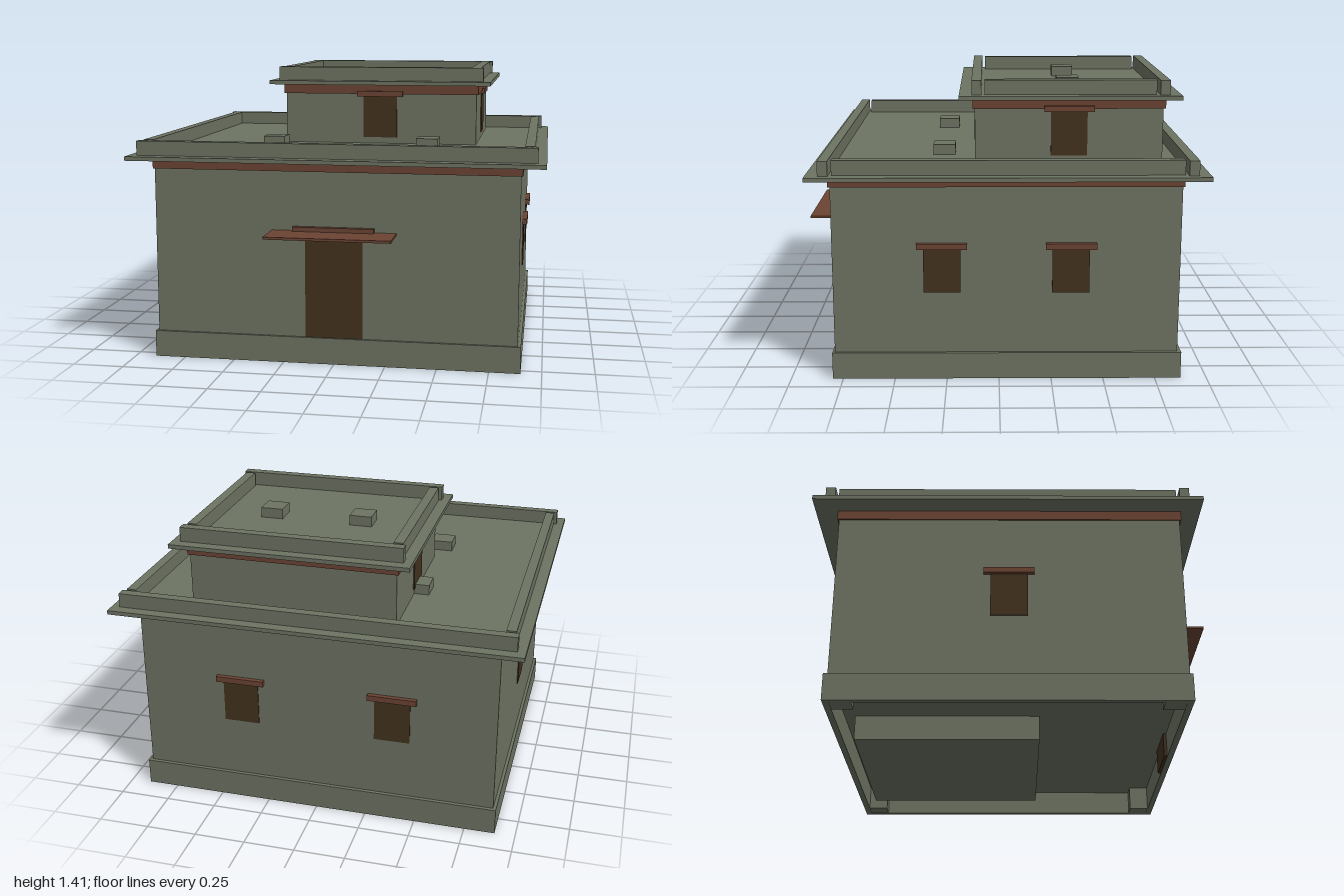
import * as THREE from 'three';

export function createModel() {
  const model = new THREE.Group();
  model.name = 'flatRoofedHouse';

  const mat = (name, color) => {
    const m = new THREE.MeshStandardMaterial({ color });
    m.name = name;
    return m;
  };
  const plaster = mat('grey green plaster', 0x6e7463);
  const timber = mat('red brown timber', 0x6b4433);
  const opening = mat('dark brown opening', 0x43321f);

  // Box given by its limits on each axis
  const box = (name, material, [x0, x1], [y0, y1], [z0, z1], parent = model) => {
    const mesh = new THREE.Mesh(new THREE.BoxGeometry(x1 - x0, y1 - y0, z1 - z0), material);
    mesh.position.set((x0 + x1) / 2, (y0 + y1) / 2, (z0 + z1) / 2);
    mesh.name = name;
    parent.add(mesh);
    return mesh;
  };

  // Overhanging slab with four parapet walls that leave small gaps at the corners
  const roof = (name, y, slabX, slabZ) => {
    const g = new THREE.Group();
    g.name = name;
    model.add(g);
    const top = y + 0.02, rim = [top, top + 0.07];
    box('roofSlab', plaster, slabX, [y, top], slabZ, g);
    const x0 = slabX[0] + 0.04, x1 = slabX[1] - 0.04;
    const z0 = slabZ[0] + 0.055, z1 = slabZ[1] - 0.06;
    box('backParapet', plaster, [x0, x1], rim, [z0, z0 + 0.047], g);
    box('frontParapet', plaster, [x0, x1], rim, [z1 - 0.047, z1], g);
    for (const [a, b] of [[x0 + 0.015, x0 + 0.062], [x1 - 0.062, x1 - 0.015]]) {
      box('sideParapet', plaster, [a, b], rim, [z0 + 0.062, z1 - 0.062], g);
    }
  };

  // Window: dark plate and timber lintel, built facing +z then turned
  const windowUnit = (x, z, angle, top) => {
    const g = new THREE.Group();
    g.name = 'window';
    box('windowPane', opening, [-0.088, 0.088], [top - 0.215, top], [-0.004, 0.004], g);
    box('windowLintel', timber, [-0.12, 0.12], [top, top + 0.028], [-0.003, 0.022], g);
    g.position.set(x, 0, z);
    g.rotation.y = angle;
    model.add(g);
  };

  // Hollow plinth ring with corner footings
  const plinth = [0, 0.13];
  box('frontPlinth', plaster, [-0.9, 0.9], plinth, [0.77, 0.8]);
  box('backPlinth', plaster, [-0.9, 0.9], plinth, [-0.875, -0.845]);
  for (const s of [-1, 1]) {
    const xs = s < 0 ? [-0.9, -0.87] : [0.87, 0.9];
    box('sidePlinth', plaster, xs, plinth, [-0.845, 0.77]);
    for (const z of [-0.795, 0.72]) {
      const fx = s < 0 ? [-0.87, -0.78] : [0.78, 0.87];
      box('cornerFooting', plaster, fx, [0.002, 0.13], [z - 0.05, z + 0.05]);
    }
  }

  // Lower storey
  box('lowerWalls', plaster, [-0.885, 0.885], [0.125, 0.99], [-0.857, 0.788]);
  box('lowerTimberBand', timber, [-0.892, 0.892], [0.943, 0.99], [-0.865, 0.797]);
  roof('lowerRoof', 0.99, [-1, 1], [-0.973, 0.892]);

  // Upper storey, its walls running down to the ground
  box('upperWalls', plaster, [-0.38, 0.63], [0.003, 1.32], [-0.793, 0.115]);
  box('upperTimberBand', timber, [-0.39, 0.64], [1.27, 1.32], [-0.803, 0.125]);
  roof('upperRoof', 1.32, [-0.455, 0.705], [-0.873, 0.19]);

  // Front door with lintel and thin canopy
  box('frontDoor', opening, [-0.14, 0.14], [0.004, 0.61], [0.755, 0.792]);
  box('doorLintel', timber, [-0.197, 0.197], [0.64, 0.677], [0.785, 0.814]);
  box('doorCanopy', timber, [-0.303, 0.303], [0.644, 0.656], [0.785, 0.975]);

  // Windows on the lower storey
  const q = Math.PI / 2;
  for (const z of [0.27, -0.34]) windowUnit(0.887, z, q, 0.645);
  windowUnit(-0.887, -0.035, -q, 0.645);
  for (const x of [-0.38, 0.38]) windowUnit(x, -0.858, Math.PI, 0.645);

  // Openings on the upper storey
  windowUnit(0.125, 0.117, 0, 1.257);
  windowUnit(0.632, -0.34, q, 1.257);
  windowUnit(-0.382, -0.34, -q, 1.257);

  // Small roof blocks
  for (const [x, y, z] of [
    [-0.4, 1.01, 0.27], [0.395, 1.01, 0.27], [-0.4, 1.01, -0.345],
    [-0.105, 1.34, -0.345], [0.35, 1.34, -0.345],
  ]) {
    box('roofBlock', plaster, [x - 0.055, x + 0.055], [y, y + 0.05], [z - 0.055, z + 0.055]);
  }

  return model;
}
